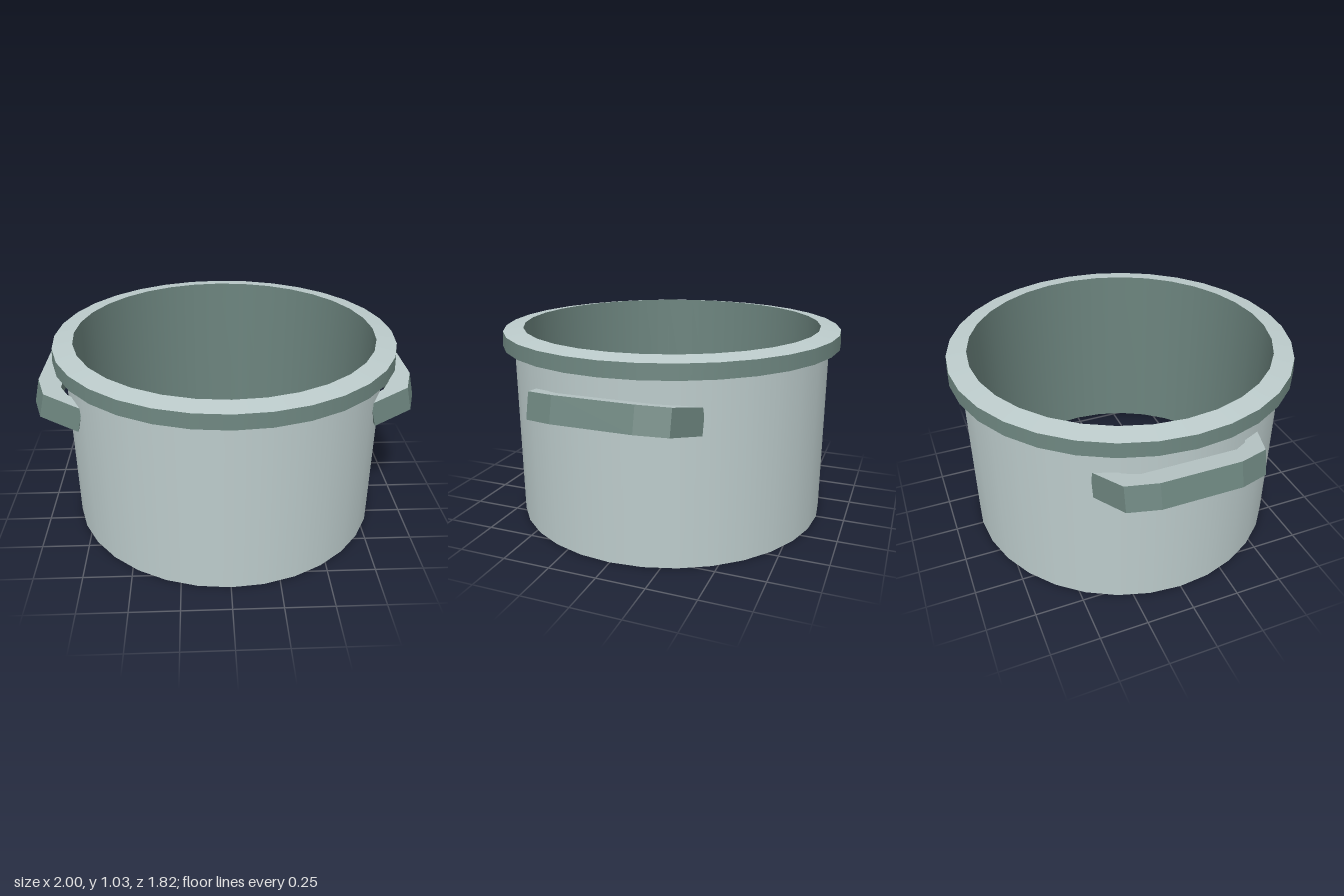
import * as THREE from 'three';

const SIDES = 32;

export function createModel() {
  const pot = new THREE.Group();
  pot.name = 'cookingPot';

  const lightMetal = new THREE.MeshStandardMaterial({ color: 0xbccbcb, side: THREE.DoubleSide });
  lightMetal.name = 'lightMetal';
  const darkMetal = new THREE.MeshStandardMaterial({ color: 0x6c847e, side: THREE.DoubleSide });
  darkMetal.name = 'darkMetal';

  // Open ring of wall between two radii and heights
  const band = (name, rBottom, yBottom, rTop, yTop, material) => {
    const geo = new THREE.CylinderGeometry(rTop, rBottom, yTop - yBottom, SIDES, 1, true);
    geo.translate(0, (yTop + yBottom) / 2, 0);
    const mesh = new THREE.Mesh(geo, material);
    mesh.name = name;
    pot.add(mesh);
  };

  // Body: open-ended outer and inner walls
  band('outerWall', 0.85, 0, 0.85, 0.925, lightMetal);
  band('innerWall', 0.8, 0, 0.8, 1.03, darkMetal);

  // Rim: underside, outer edge and sloping top
  band('rimUnderside', 0.85, 0.925, 0.91, 0.94, lightMetal);
  band('rimEdge', 0.91, 0.94, 0.905, 1.015, darkMetal);
  band('rimTop', 0.905, 1.015, 0.8, 1.03, lightMetal);

  // Handle outline seen from above: outer edge, then inner edge
  const outer = [[0, 0.43], [0.205, 0.35], [0.257, 0.2]];
  const inner = [[0.135, 0.24], [0.09, 0.31], [0, 0.36]];
  const half = [...outer.map(([u, v]) => [u, v])];
  const mirror = (pts) => pts.map(([u, v]) => [u, -v]).reverse();
  const outline = [...half, ...mirror(outer), ...mirror(inner), ...inner]
    .map(([u, v]) => new THREE.Vector2(u, v));

  const handleGeo = new THREE.ExtrudeGeometry(new THREE.Shape(outline), {
    depth: 0.13, bevelEnabled: false,
  });
  handleGeo.rotateX(-Math.PI / 2);
  handleGeo.rotateZ(THREE.MathUtils.degToRad(13.5)); // tilts upward away from the wall
  handleGeo.translate(0.75, 0.67, 0);

  ['leftHandle', 'rightHandle'].forEach((name, i) => {
    const handle = new THREE.Mesh(handleGeo, [lightMetal, darkMetal]);
    handle.name = name;
    handle.rotation.y = i * Math.PI;
    pot.add(handle);
  });

  return pot;
}
